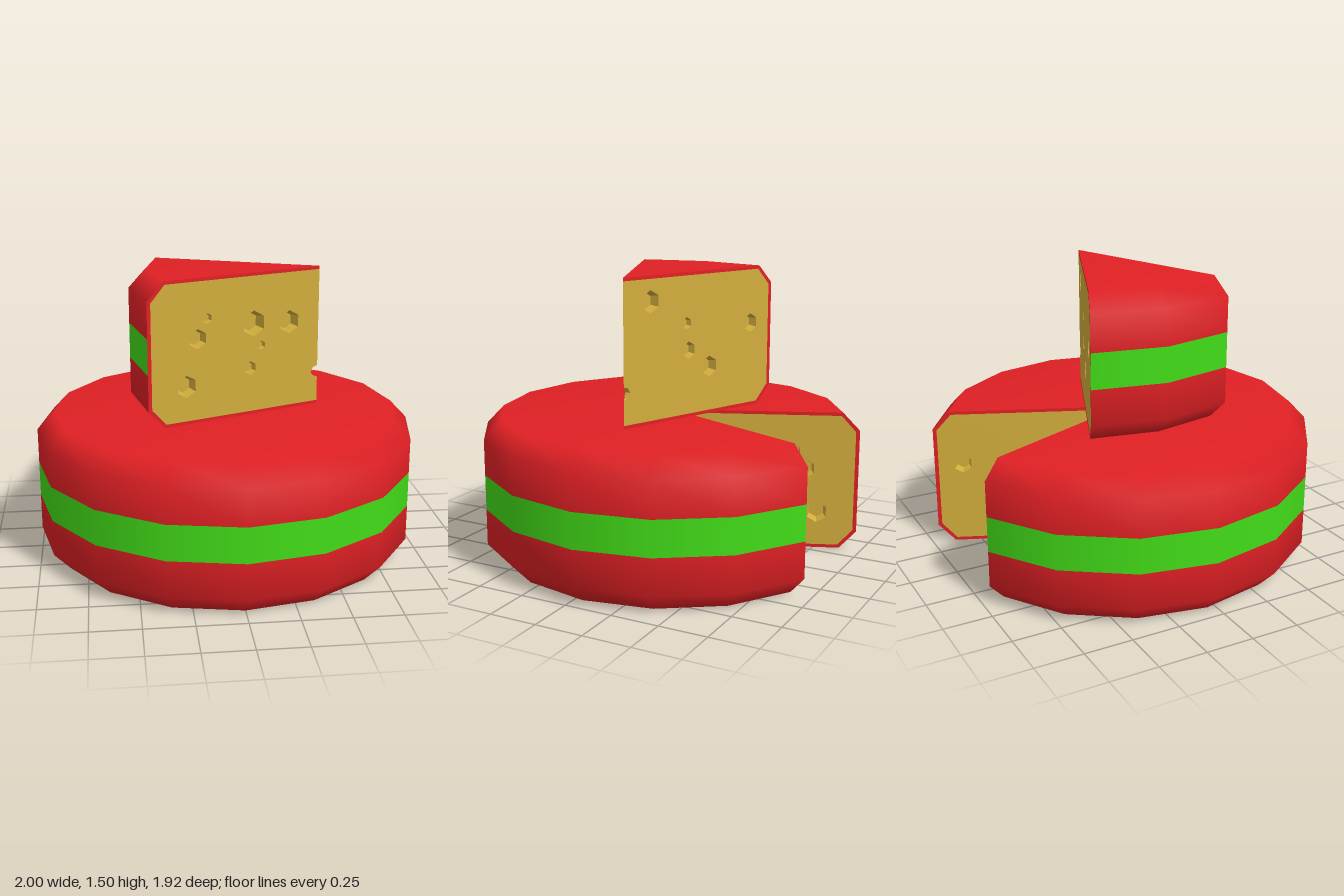
import * as THREE from 'three';

const H = 0.75;            // height of the wheel and of the wedge
const CUT = Math.PI / 8;   // half angle of the slice
const V = (x, y) => new THREE.Vector2(x, y);

const mat = (color, flatShading = false) =>
  new THREE.MeshStandardMaterial({ color, flatShading, side: THREE.DoubleSide });
const red = mat(0xe02024);
const green = mat(0x42dc18);
const yellow = mat(0xd2ad3c);
const pitYellow = mat(0xd2ad3c, true);

// Half profiles of the wax coat, from bottom to top
const bands = [
  ['lowerRind', red, [V(0, 0), V(0.91, 0), V(1, 0.095), V(1, 0.285)]],
  ['greenBand', green, [V(1, 0.285), V(1, 0.47)]],
  ['upperRind', red, [V(1, 0.47), V(1, 0.655), V(0.91, H), V(0, H)]],
];

// Holes as [distance from the tip, height, radius] on each side of the slice
const holesPlusX = [
  [0.17, 0.62, 0.058], [0.405, 0.49, 0.032], [0.42, 0.35, 0.045],
  [0.56, 0.25, 0.055], [0.85, 0.45, 0.05],
];
const holesMinusX = [
  [0.785, 0.2, 0.058], [0.72, 0.44, 0.052], [0.665, 0.54, 0.027], [0.395, 0.485, 0.068],
  [0.35, 0.365, 0.024], [0.415, 0.25, 0.037], [0.18, 0.47, 0.062],
];

// Bite in the thin tip of the wedge
const notch = [V(0, 0.212), V(0.026, 0.205), V(0.04, 0.18), V(0.026, 0.155), V(0, 0.148)];

function add(parent, name, geometry, material) {
  const mesh = new THREE.Mesh(geometry, material);
  mesh.name = name;
  parent.add(mesh);
  return mesh;
}

// Cut side in the plane (distance from tip, height); facing is +1 or -1 along its local z
function cutFace(name, side, facing, holes, tip) {
  const face = new THREE.Group();
  face.name = name;
  const outer = [V(0, 0), V(0.91, 0), V(1, 0.095), V(1, 0.655), V(0.91, H), V(0, H)];
  const inner = [V(0, 0.017), V(0.902, 0.017), V(0.98, 0.103), V(0.98, 0.647), V(0.902, 0.733), V(0, 0.733)];

  // Thin edge of the wax coat around the paste
  add(face, 'rindEdge', new THREE.ShapeGeometry(new THREE.Shape([...outer, ...inner.slice().reverse()])), red);

  const paste = new THREE.Shape([...inner, ...tip]);
  for (const [r, y, size] of holes) {
    const rim = [];
    for (let k = 0; k < 6; k++) {
      const a = Math.PI / 2 - k * Math.PI / 3;
      rim.push(V(r + size * Math.cos(a), y + size * Math.sin(a)));
    }
    paste.holes.push(new THREE.Path(rim));

    // Six-sided pit behind the opening
    const depth = size * 0.85;
    const pit = new THREE.LatheGeometry([V(0, -depth), V(size * 0.75, -depth), V(size, 0)], 6);
    pit.rotateX(facing * Math.PI / 2).translate(r, y, 0);
    add(face, 'cheeseHole', pit, pitYellow);
  }
  add(face, 'cutPaste', new THREE.ShapeGeometry(paste), yellow);

  // Turn the local x axis to the direction of the cut
  const u = new THREE.Vector3(side * Math.sin(CUT), 0, -Math.cos(CUT));
  const up = new THREE.Vector3(0, 1, 0);
  const basis = new THREE.Matrix4().makeBasis(u, up, u.clone().cross(up));
  face.quaternion.setFromRotationMatrix(basis);
  return face;
}

// Sector of cheese with its tip at the origin; outward is +1 for the wedge, -1 for the wheel
function cheese(name, start, angle, segments, outward, tip = []) {
  const group = new THREE.Group();
  group.name = name;
  for (const [part, material, profile] of bands) {
    add(group, part, new THREE.LatheGeometry(profile, segments, start, angle), material);
  }
  group.add(cutFace('cutSideA', 1, outward, holesPlusX, tip));
  group.add(cutFace('cutSideB', -1, -outward, holesMinusX, tip));
  return group;
}

// Walls of the bite, spanning both cut sides
function notchGeometry() {
  const positions = [];
  const index = [];
  notch.forEach(({ x, y }, i) => {
    const w = x * Math.sin(CUT), z = -x * Math.cos(CUT);
    positions.push(-w, y, z, w, y, z);
    const a = i * 2;
    if (i < notch.length - 1) index.push(a, a + 2, a + 1, a + 1, a + 2, a + 3);
  });
  const g = new THREE.BufferGeometry();
  g.setAttribute('position', new THREE.Float32BufferAttribute(positions, 3));
  g.setIndex(index);
  g.computeVertexNormals();
  return g;
}

export function createModel() {
  const model = new THREE.Group();
  model.name = 'cheeseWheelWithSlice';

  // Wheel with the slice missing at the back
  const wheel = cheese('cheeseWheel', Math.PI + CUT, 2 * Math.PI - 2 * CUT, 14, -1);
  wheel.position.set(0, 0, -0.04);

  // Slice resting on top, tip towards +x
  const wedge = cheese('cheeseWedge', Math.PI - CUT, 2 * CUT, 2, 1, notch);
  add(wedge, 'tipBite', notchGeometry(), pitYellow);
  wedge.rotation.y = Math.PI / 2;
  wedge.position.set(0.5, H, -0.04);

  model.add(wheel, wedge);
  return model;
}
